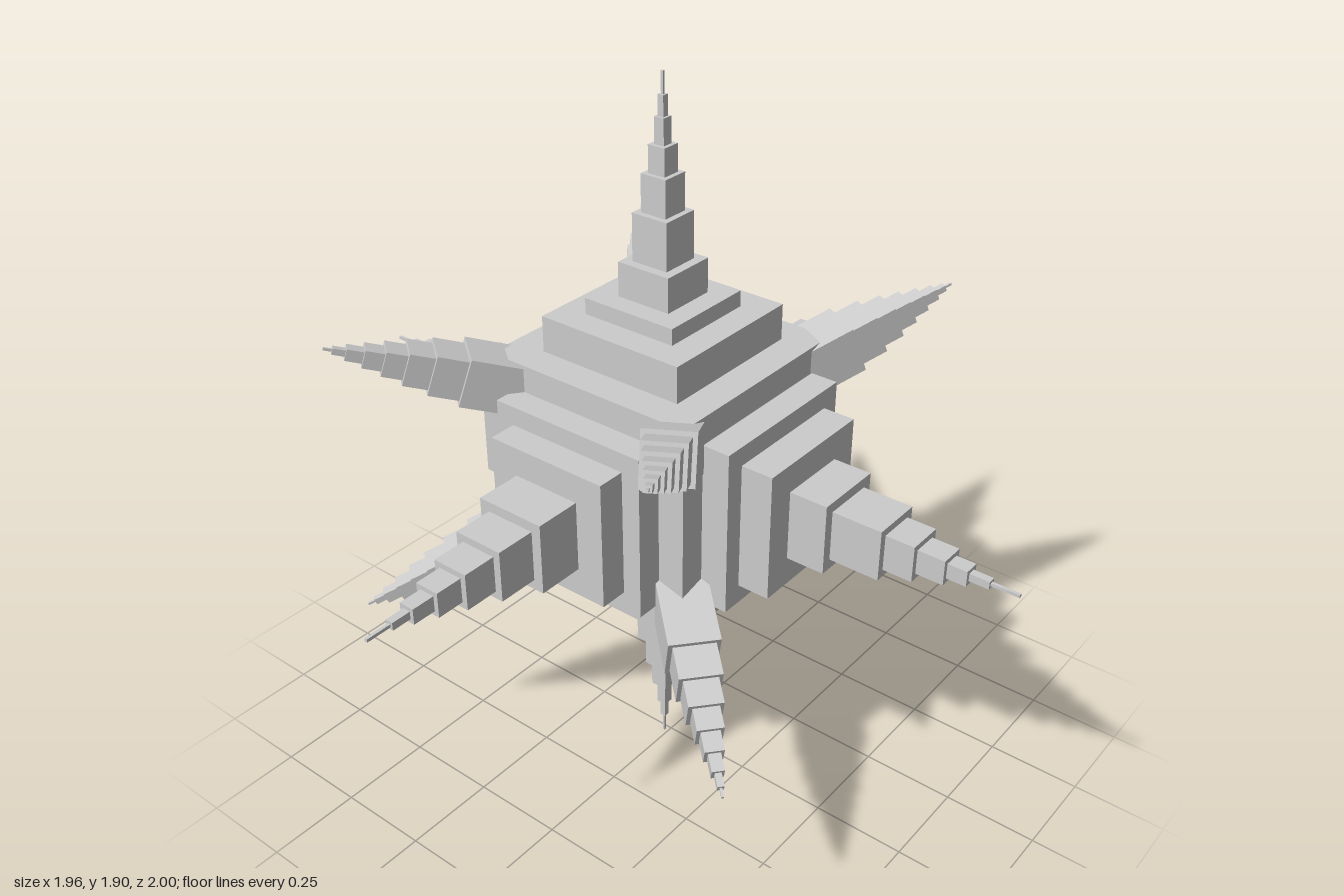
import * as THREE from 'three';

const material = new THREE.MeshStandardMaterial({ color: 0xcccccc, flatShading: true });
const CORE = 0.288;

// Stack of square blocks growing along +z; each step is [end distance, half width]
function steppedSpike(name, start, steps) {
  const spike = new THREE.Group();
  spike.name = name;
  let from = start;
  steps.forEach(([to, half], i) => {
    const block = new THREE.Mesh(new THREE.BoxGeometry(half * 2, half * 2, to - from), material);
    block.name = `${name}Step${i + 1}`;
    block.position.z = (from + to) / 2;
    spike.add(block);
    from = to;
  });
  return spike;
}

export function createModel() {
  const model = new THREE.Group();
  model.name = 'steppedStar';

  // Central cube
  const core = new THREE.Mesh(new THREE.BoxGeometry(CORE * 2, CORE * 2, CORE * 2), material);
  core.name = 'coreCube';
  model.add(core);

  // One large stepped spike on each face of the cube
  const halves = [0.217, 0.167, 0.092, 0.066, 0.047, 0.032, 0.02, 0.01, 0.004];
  const slim = [0.204, 0.131, 0.075, 0.051, 0.036, 0.024, 0.014, 0.008, 0.003];
  const lower = [0.222, 0.186, 0.075, 0.051, 0.036, 0.024, 0.014, 0.008, 0.003];
  const faceSpikes = [
    ['leftSpike', [0, Math.PI / 2], [0.361, 0.445, 0.545, 0.675, 0.75, 0.82, 0.87, 0.92, 0.99], halves],
    ['rightSpike', [0, -Math.PI / 2], [0.382, 0.466, 0.524, 0.63, 0.71, 0.8, 0.864, 0.91, 0.967], halves],
    ['topSpike', [-Math.PI / 2, 0], [0.382, 0.424, 0.513, 0.634, 0.728, 0.796, 0.86, 0.91, 0.963], slim],
    ['bottomSpike', [Math.PI / 2, 0], [0.335, 0.403, 0.48, 0.6, 0.69, 0.764, 0.83, 0.88, 0.937], lower],
    ['frontSpike', [0, 0], [0.357, 0.43, 0.55, 0.653, 0.74, 0.81, 0.87, 0.92, 0.985], halves],
    ['backSpike', [0, Math.PI], [0.4, 0.474, 0.562, 0.7, 0.787, 0.855, 0.91, 0.96, 1.015], halves],
  ];
  for (const [name, [rx, ry], ends, widths] of faceSpikes) {
    const spike = steppedSpike(name, CORE, ends.map((end, i) => [end, widths[i]]));
    spike.rotation.set(rx, ry, 0);
    model.add(spike);
  }

  // Smaller slanted spikes from the eight corners, each given by its tip
  const tips = [
    [0.45, 0.36, 0.61], [0.44, 0.36, -0.60], [-0.515, 0.36, 0.61], [-0.505, 0.36, -0.535],
    [0.615, -0.395, 0.56], [0.623, -0.395, -0.495], [-0.515, -0.395, 0.575], [-0.535, -0.395, -0.51],
  ];
  const cornerSteps = [[0.36, 0.063], [0.51, 0.052], [0.63, 0.042], [0.73, 0.032],
    [0.82, 0.023], [0.9, 0.015], [0.96, 0.008], [1, 0.003]];
  for (const [x, y, z] of tips) {
    const tip = new THREE.Vector3(x, y, z);
    const base = new THREE.Vector3(Math.sign(x) * 0.22, Math.sign(y) * 0.2, Math.sign(z) * 0.22);
    const length = base.distanceTo(tip);
    const spike = steppedSpike('cornerSpike', 0, cornerSteps.map(([t, half]) => [t * length, half]));
    spike.position.copy(base);
    spike.lookAt(tip);
    model.add(spike);
  }

  model.position.set(-0.013, 0.937, 0.014);
  const root = new THREE.Group();
  root.name = 'starModel';
  root.add(model);
  return root;
}
